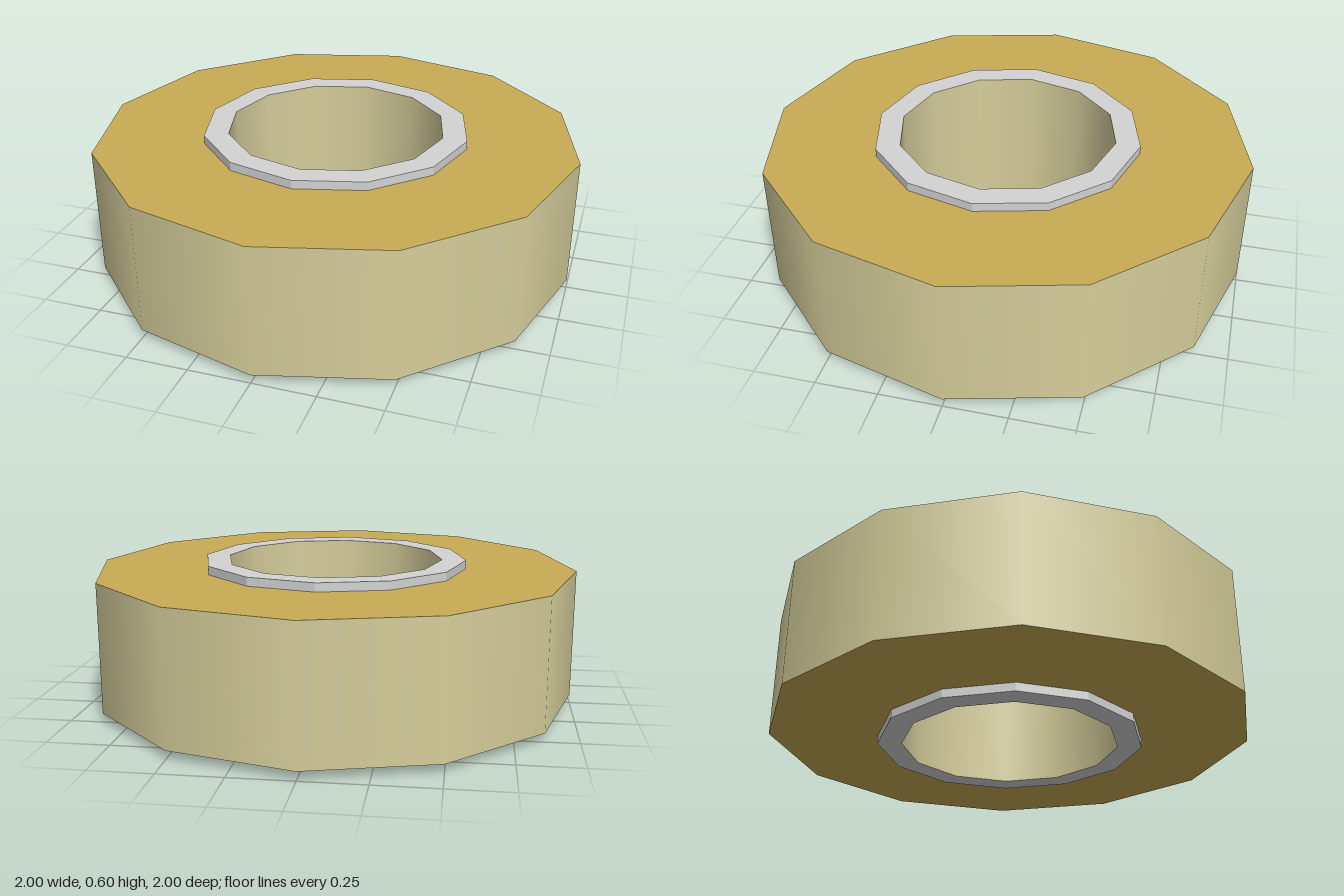
import * as THREE from 'three';

const SIDES = 12;
const OUTER = 1, RING = 0.55, BORE = 0.45;
const HEIGHT = 0.6, LIP = 0.035;

const material = (name, color) => {
  const m = new THREE.MeshStandardMaterial({ color });
  m.name = name;
  return m;
};

// Twelve-sided band swept between two [radius, y] points;
// it faces outward when the profile runs upward, and upward when it runs inward.
function band(name, from, to, mat, flat = false) {
  let geometry = new THREE.LatheGeometry(
    [new THREE.Vector2(...from), new THREE.Vector2(...to)], SIDES);
  if (flat) {
    geometry = geometry.toNonIndexed();
    geometry.computeVertexNormals();
  }
  const mesh = new THREE.Mesh(geometry, mat);
  mesh.name = name;
  return mesh;
}

export function createModel() {
  const cream = material('cream', 0xd6ce9b);
  const gold = material('gold', 0xc8ab54);
  const grey = material('light grey', 0xd3d3d3);

  const low = LIP, high = HEIGHT - LIP;
  const model = new THREE.Group();
  model.name = 'roll';

  // Wound body: smooth outer wall and flat end faces
  const body = new THREE.Group();
  body.name = 'body';
  body.add(
    band('outerWall', [OUTER, low], [OUTER, high], cream),
    band('topFace', [OUTER, high], [RING, high], gold, true),
    band('bottomFace', [RING, low], [OUTER, low], gold, true));

  // Core: smooth bore with a faceted lip standing out at each end
  const core = new THREE.Group();
  core.name = 'core';
  core.add(
    band('boreWall', [BORE, HEIGHT], [BORE, 0], cream),
    band('topLipSide', [RING, high], [RING, HEIGHT], grey, true),
    band('topLipRim', [RING, HEIGHT], [BORE, HEIGHT], grey, true),
    band('bottomLipSide', [RING, 0], [RING, low], grey, true),
    band('bottomLipRim', [BORE, 0], [RING, 0], grey, true));

  model.add(body, core);
  return model;
}
